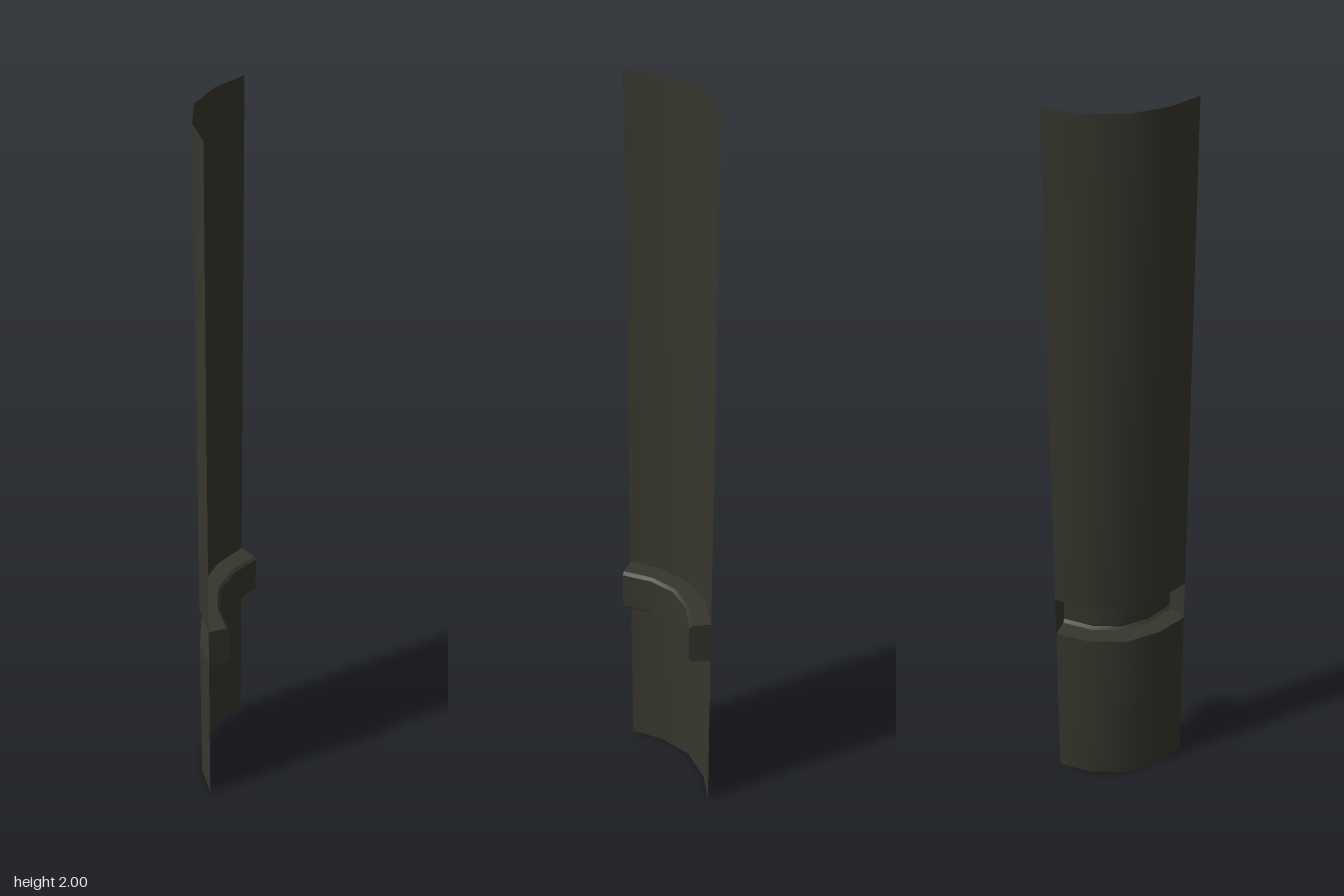
import * as THREE from 'three';

// Plan outlines [x, z]: convex face of the shell and inner face of the band
const OUTER = [[-0.133, 0.118], [-0.11, 0.03], [-0.057, -0.055], [0.03, -0.11], [0.118, -0.133]];
const INNER = [[-0.077, 0.131], [-0.059, 0.051], [-0.018, -0.016], [0.051, -0.059], [0.131, -0.077]];

// Band profile [depth from outer (0) to inner (1), height]
const BAND = [[0, 0.5], [0.86, 0.5], [1, 0.508], [1, 0.612], [0.86, 0.62], [0, 0.62]];

function pointAt(i, [depth, y]) {
  return [
    THREE.MathUtils.lerp(OUTER[i][0], INNER[i][0], depth),
    y,
    THREE.MathUtils.lerp(OUTER[i][1], INNER[i][1], depth),
  ];
}

function makeGeometry(positions, index) {
  const geometry = new THREE.BufferGeometry();
  geometry.setAttribute('position', new THREE.Float32BufferAttribute(positions, 3));
  geometry.setIndex(index);
  geometry.computeVertexNormals();
  return geometry;
}

// Surface swept along the curve between two profile points, smooth along its length
function strip(low, high) {
  const positions = [];
  const index = [];
  for (let i = 0; i < OUTER.length; i++) {
    positions.push(...pointAt(i, low), ...pointAt(i, high));
    if (i > 0) {
      const a = 2 * (i - 1);
      index.push(a, a + 2, a + 1, a + 1, a + 2, a + 3);
    }
  }
  return makeGeometry(positions, index);
}

// Flat plate closing one end of the band
function endCap(i, flip) {
  const positions = BAND.flatMap((p) => pointAt(i, p));
  const index = [];
  for (let k = 1; k < BAND.length - 1; k++) {
    index.push(0, flip ? k + 1 : k, flip ? k : k + 1);
  }
  return makeGeometry(positions, index);
}

export function createModel() {
  const model = new THREE.Group();
  model.name = 'curvedPanel';
  const darkOlive = new THREE.MeshStandardMaterial({ color: 0x37362d, side: THREE.DoubleSide });
  darkOlive.name = 'darkOlive';

  const add = (parent, name, geometry) => {
    const mesh = new THREE.Mesh(geometry, darkOlive);
    mesh.name = name;
    parent.add(mesh);
  };

  // Thin curved shell below and above the band
  add(model, 'lowerShell', strip([0, 0], [0, 0.5]));
  add(model, 'upperShell', strip([0, 0.62], [0, 2]));

  // Band pressed inward: a groove on the convex side, a ridge on the concave side
  const band = new THREE.Group();
  band.name = 'band';
  const names = ['lowerLedge', 'lowerBevel', 'bandFace', 'upperBevel', 'upperLedge'];
  names.forEach((name, k) => add(band, name, strip(BAND[k], BAND[k + 1])));
  add(band, 'rightEndCap', endCap(0, false));
  add(band, 'leftEndCap', endCap(OUTER.length - 1, true));
  model.add(band);

  return model;
}
